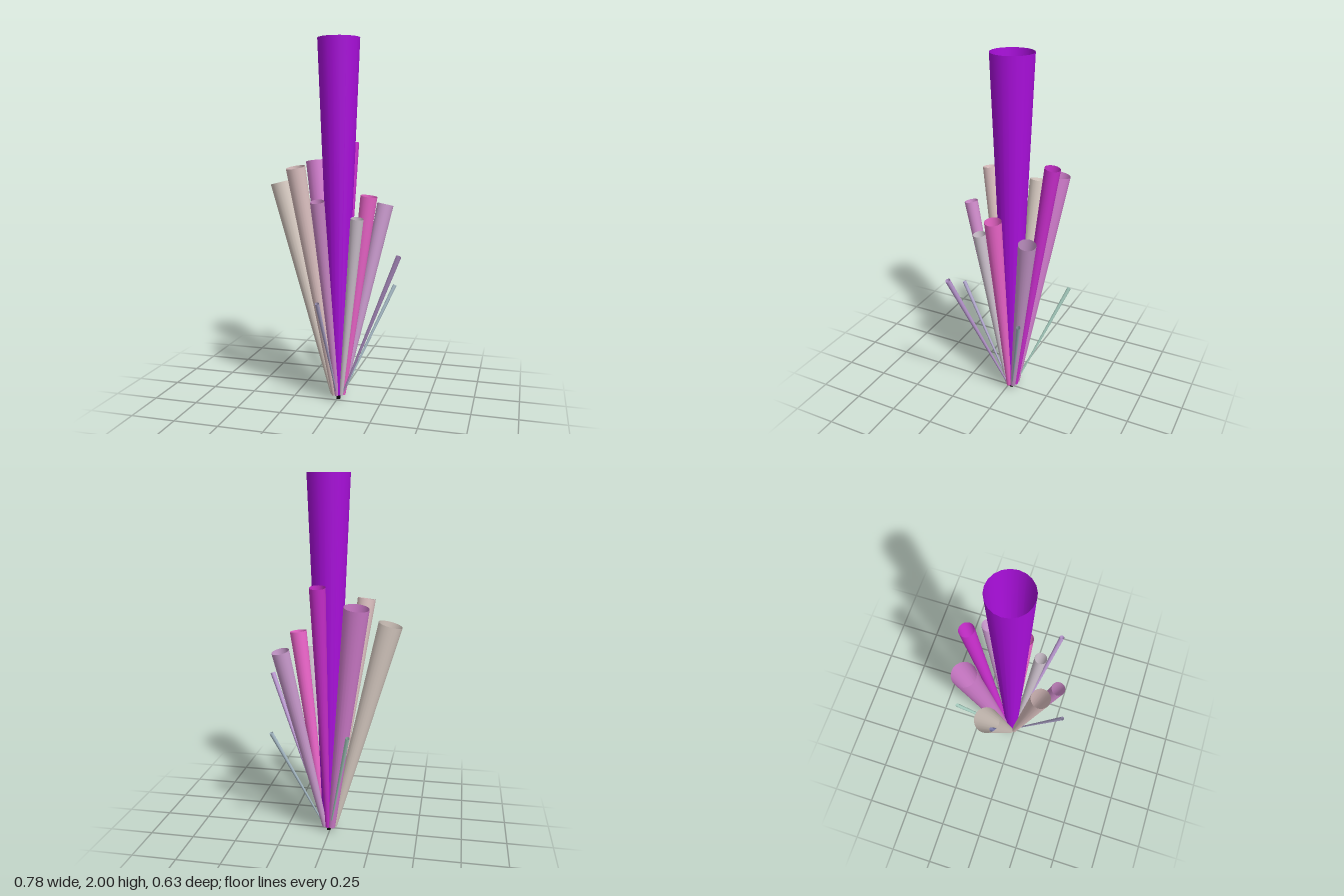
import * as THREE from 'three';

const CENTER = new THREE.Vector3(0.006, 0.032, -0.022);
const UP = new THREE.Vector3(0, 1, 0);
const TAPER = 0.31; // base radius relative to the mouth

// Open tapered tube from a base point to the centre of its mouth
function makeTube(name, base, tip, radius, color) {
  const axis = tip.clone().sub(base);
  const geometry = new THREE.CylinderGeometry(radius, radius * TAPER, axis.length(), 20, 1, true);
  const material = new THREE.MeshStandardMaterial({ color, side: THREE.DoubleSide });
  const mesh = new THREE.Mesh(geometry, material);
  mesh.name = name;
  mesh.position.copy(base).lerp(tip, 0.5);
  mesh.quaternion.setFromUnitVectors(UP, axis.normalize());
  return mesh;
}

// Mouth centre x, y, z, mouth radius, colour
const OUTER_TUBES = [
  [-0.328, 1.228, -0.042, 0.065, 0xdccfc6],
  [-0.171, 1.34, -0.21, 0.067, 0xd680d2],
  [0.02, 1.445, -0.256, 0.042, 0xcc2fd0],
  [0.227, 1.1, -0.216, 0.047, 0xcc9cd0],
  [0.181, 1.165, 0.002, 0.046, 0xee66cc],
  [0.141, 1.055, 0.105, 0.035, 0xd2c6d2],
  [-0.033, 1.155, 0.25, 0.037, 0xd08ccc],
  [-0.169, 1.325, 0.189, 0.051, 0xe0c4c4],
];
const THIN_TUBES = [
  [-0.145, 0.68, -0.308, 0.011, 0xaed6c8],
  [0.29, 0.64, -0.2, 0.011, 0xa8bcc8],
  [0.376, 0.875, 0.168, 0.014, 0xbb99d2],
  [-0.02, 0.635, 0.303, 0.011, 0xb0a6cc],
  [-0.268, 0.85, -0.05, 0.011, 0x9090c8],
];

export function createModel() {
  const model = new THREE.Group();
  model.name = 'tubeCluster';

  // Tall upright tube in the middle
  const top = new THREE.Vector3(CENTER.x, 2, CENTER.z);
  model.add(makeTube('centralTube', CENTER, top, 0.114, 0xaa0fdc));

  // Leaning tubes, rooted on a small ring around the centre
  const addLeaning = (name, list) => list.forEach(([x, y, z, radius, color], i) => {
    const tip = new THREE.Vector3(x, y, z);
    const outward = tip.clone().sub(CENTER).setY(0).normalize();
    const base = CENTER.clone().addScaledVector(outward, 0.028);
    model.add(makeTube(name + (i + 1), base, tip, radius, color));
  });
  addLeaning('outerTube', OUTER_TUBES);
  addLeaning('thinTube', THIN_TUBES);

  // Small dark root block
  const root = new THREE.Mesh(
    new THREE.BoxGeometry(0.018, 0.03, 0.018),
    new THREE.MeshStandardMaterial({ color: 0x0a0a0a })
  );
  root.name = 'rootBlock';
  root.position.set(CENTER.x, 0.015, CENTER.z);
  model.add(root);

  return model;
}
